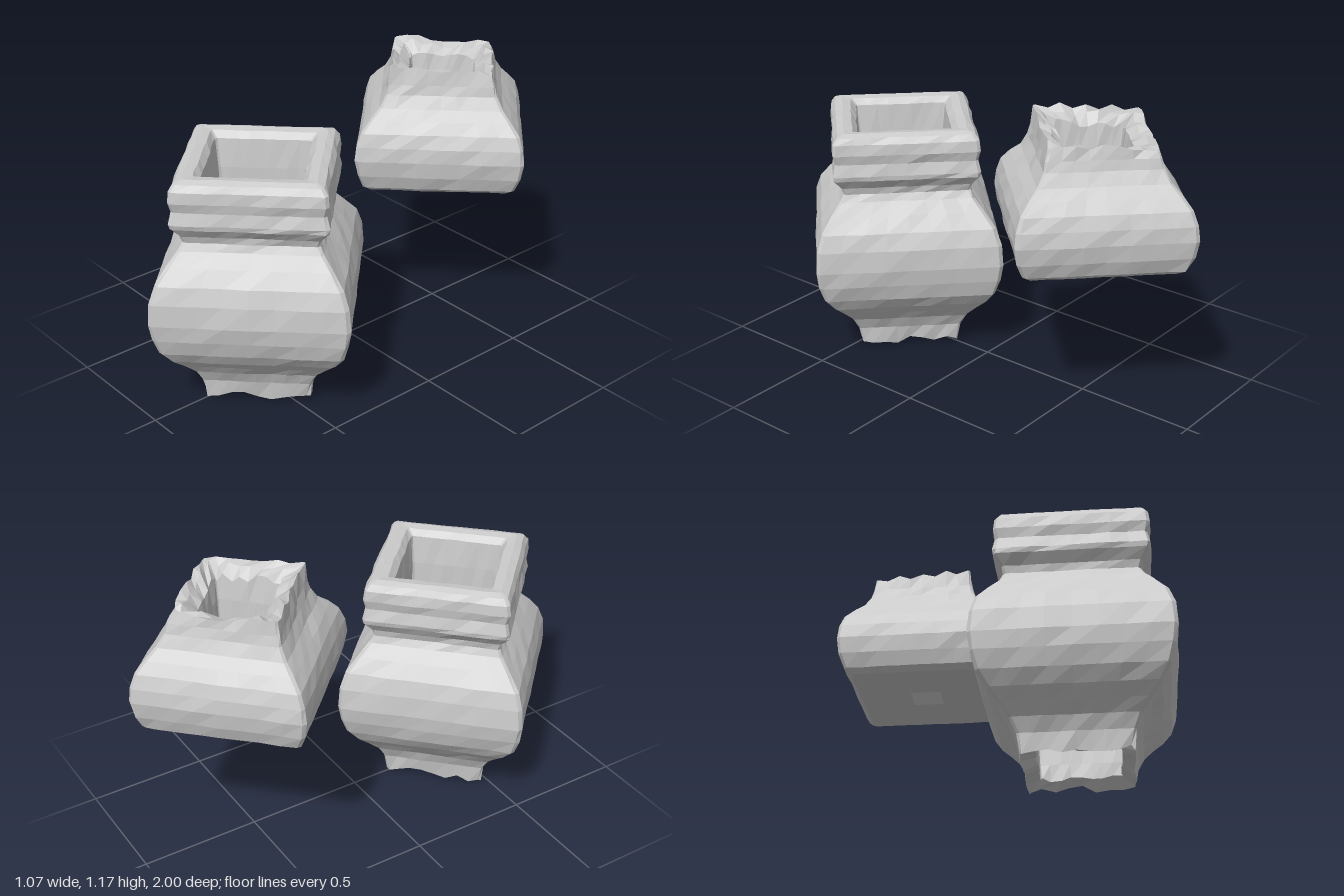
import * as THREE from 'three';

const material = new THREE.MeshStandardMaterial({ color: 0xcccccc, flatShading: true });

// Seeded noise in -1..1
function makeNoise(seed) {
  let s = seed;
  return () => {
    s = (s * 16807) % 2147483647;
    return (s / 2147483647) * 2 - 1;
  };
}

// Positions along one side of the square; the ends leave a narrow worn corner
const steps = [0.02, 0.13, 0.25, 0.37, 0.5, 0.63, 0.75, 0.87, 0.98];

// Square section lofted through a closed profile of [half diagonal, y, break roughness].
// tilt leans the broken rows along z.
function squareVessel(profile, seed, tilt = 0) {
  const noise = makeNoise(seed);
  const pos = [];
  const index = [];
  const cols = steps.length * 4;
  const rows = profile.length;
  for (const [r, y, rough = 0] of profile) {
    for (let side = 0; side < 4; side++) {
      const a = side * Math.PI / 2;
      for (const t of steps) {
        const end = t < 0.1 || t > 0.9;
        const wear = r < 0.1 ? 0 : (end ? 0.003 : 0.005);
        const rr = (r + noise() * (wear + rough * 0.25)) / 0.985;
        const x = rr * ((1 - t) * Math.cos(a) - t * Math.sin(a));
        const z = rr * ((1 - t) * Math.sin(a) + t * Math.cos(a));
        const lean = rough ? tilt * z : 0;
        pos.push(x, y + noise() * rough + lean, z);
      }
    }
  }
  for (let i = 0; i < rows; i++) {
    const n = (i + 1) % rows;
    for (let j = 0; j < cols; j++) {
      const k = (j + 1) % cols;
      const a = i * cols + j, b = i * cols + k, c = n * cols + j, d = n * cols + k;
      index.push(a, c, b, b, c, d);
    }
  }
  const g = new THREE.BufferGeometry();
  g.setAttribute('position', new THREE.Float32BufferAttribute(pos, 3));
  g.setIndex(index);
  g.computeVertexNormals();
  return g;
}

function part(name, geometry, z) {
  const mesh = new THREE.Mesh(geometry, material);
  mesh.name = name;
  mesh.position.z = z;
  return mesh;
}

export function createModel() {
  const group = new THREE.Group();
  group.name = 'brokenSquareVase';

  // Upper body: broken foot, round belly, narrow neck, banded rim, open shaft inside
  const body = [
    [0.29, 0.027, 0.018], [0.305, 0.1], [0.34, 0.155], [0.39, 0.2], [0.445, 0.245], [0.495, 0.3],
    [0.525, 0.37], [0.538, 0.44], [0.53, 0.53], [0.5, 0.6], [0.44, 0.66], [0.385, 0.71],
    [0.365, 0.74], [0.375, 0.77], [0.415, 0.81], [0.42, 0.83], [0.405, 0.88], [0.418, 0.92],
    [0.412, 0.965], [0.39, 0.99], [0.35, 1.0], [0.3, 0.995], [0.27, 0.97],
    [0.255, 0.85], [0.25, 0.6], [0.245, 0.3], [0.23, 0.12], [0.22, 0.055, 0.015],
  ];
  group.add(part('vaseBody', squareVessel(body, 4711), 0.46));

  // Base: flat underside with a small chipped hole, bulging sides, broken top
  const base = [
    [0.02, 0.72], [0.09, 0.662], [0.4, 0.66], [0.435, 0.68], [0.465, 0.74], [0.48, 0.81],
    [0.47, 0.87], [0.445, 0.925], [0.4, 0.97], [0.35, 1.01], [0.315, 1.06], [0.302, 1.1],
    [0.288, 1.155, 0.015], [0.245, 1.145, 0.018], [0.19, 1.11, 0.02],
    [0.175, 1.02], [0.165, 0.85], [0.15, 0.75], [0.03, 0.735],
  ];
  group.add(part('vaseBase', squareVessel(base, 1234, 0.07), -0.52));

  return group;
}
